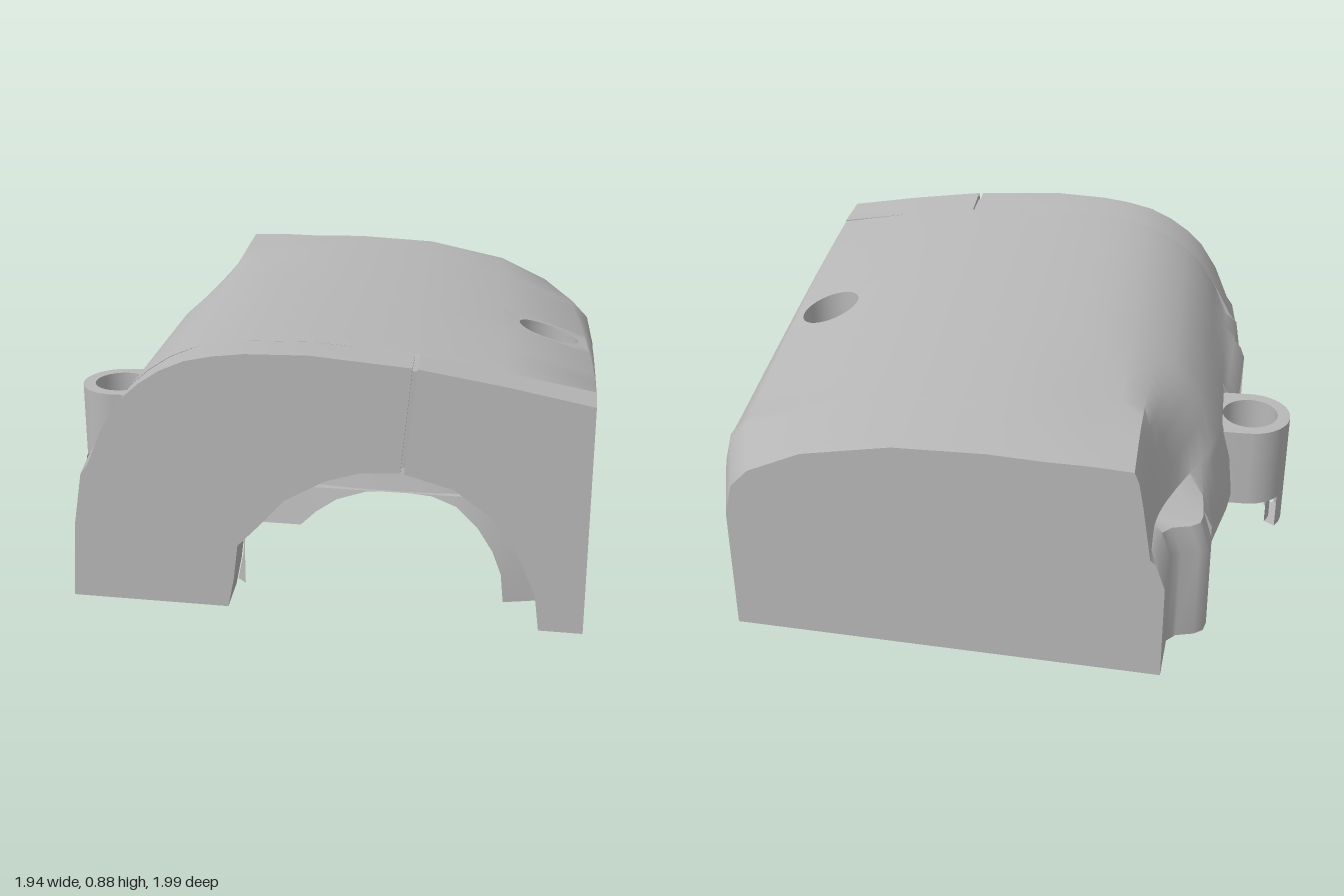
import * as THREE from 'three';
import { toCreasedNormals } from 'three/addons/utils/BufferGeometryUtils.js';

const SKEW = 0.06; // cross-sections are slightly skewed: z = t + SKEW * x
const CEILING = 0.372; // underside of the thick roof
const grey = new THREE.MeshStandardMaterial({ color: 0xb8b8b8, side: THREE.DoubleSide });
grey.name = 'housing grey';

const { lerp, clamp, smoothstep } = THREE.MathUtils;
const wallX = z => z > -0.6 ? 0.932 - 0.063 * z : lerp(0.97, 0.87, clamp((-0.6 - z) / 0.31, 0, 1));

// left wall outline (t, x)
const LEFT = [[0.94, -0.79], [0.78, -0.81], [0.55, -0.8], [0.19, -0.78], [0.18, -0.735], [-0.08, -0.735],
  [-0.09, -0.775], [-0.2, -0.76], [-0.45, -0.705], [-0.66, -0.71], [-0.7, -0.7], [-0.725, -0.67], [-0.745, -0.61],
  [-0.78, -0.58], [-0.96, -0.57]];
function leftX(t) {
  for (let i = 1; i < LEFT.length; i++) {
    const [a, xa] = LEFT[i - 1], [b, xb] = LEFT[i];
    if (t >= b) return lerp(xa, xb, clamp((a - t) / (a - b), 0, 1));
  }
  return -0.57;
}

// upper left wall, at the front and at the back
const FRONT = [[-0.72, 0.47], [-0.665, 0.6], [-0.6, 0.7], [-0.54, 0.755], [-0.47, 0.802], [-0.39, 0.838], [-0.3, 0.858]];
const BACK = [[-0.52, 0.45], [-0.505, 0.55], [-0.49, 0.65], [-0.475, 0.73], [-0.46, 0.766], [-0.38, 0.77], [-0.3, 0.772]];

// outer cross-section, from the left foot over the roof to the right foot
function section(t) {
  const h = (t + 0.96) / 1.9, v = clamp((0.94 - t) / 1.55, 0, 1);
  const w = 1 - smoothstep(t, -0.8, -0.1);
  const roof = 0.777 + 0.1 * h, k = roof / 0.877;
  const edge = 0.76 - 0.3 * Math.pow(v, 1.3), W = wallX(t + 0.055), L = leftX(t);
  const footL = t > 0.62 || t < -0.62 ? 0 : t > -0.085 ? 0.36 : 0.17;
  const footR = t > 0.22 && t < 0.67 ? 0.368 : 0;
  const upper = FRONT.map(([x, y], i) => [lerp(x, BACK[i][0], w), lerp(i ? y * k : y, BACK[i][1], w)]);
  return [
    [L, footL], [L + 0.016 * (1 - w), lerp(footL, 0.43, lerp(0.6, 0.8, w))],
    [Math.min(L + lerp(0.045, 0.032, w), upper[0][0] - 0.005), 0.435],
    ...upper,
    [-0.2, roof - 0.006], [0, roof], [0.3, 0.765 + 0.09 * h], [0.6, 0.705 + 0.105 * h],
    [W - 0.09 * v * v, edge + 0.16 * v * v], [W - 0.028 * v * v, edge + 0.095 * v * v],
    [W, edge - 0.015], [W, footR],
  ];
}

// outer section plus the cavity below the roof
function shellSection(t) {
  const p = section(t), [W, footR] = p[p.length - 1], [L, footL] = p[0];
  const right = t < 0.2 ? 0.69 : W - 0.04, left = L + 0.06;
  return [...p, [right, footR], [right, CEILING], [left, CEILING], [left, footL]];
}

const place = (p, t) => p.map(([x, y]) => new THREE.Vector3(x, y, t + SKEW * x));

function fromTriangles(tris, crease = 0.75) {
  return toCreasedNormals(new THREE.BufferGeometry().setFromPoints(tris), crease);
}

// skin closed rings; skip(i, j) leaves a quad open
function loft(tris, rings, skip = () => false) {
  const n = rings[0].length;
  for (let i = 0; i + 1 < rings.length; i++) for (let j = 0; j < n; j++) {
    if (skip(i, j)) continue;
    const k = (j + 1) % n;
    const a = rings[i][j], b = rings[i][k], c = rings[i + 1][k], d = rings[i + 1][j];
    tris.push(a, d, c, a, c, b);
  }
}

function cap(tris, ring, flip) {
  const flat = ring.map(p => new THREE.Vector2(p.x, p.y));
  for (const f of THREE.ShapeUtils.triangulateShape(flat, [])) {
    const [a, b, c] = f.map(i => ring[i]);
    const ccw = (b.x - a.x) * (c.y - a.y) - (b.y - a.y) * (c.x - a.x) > 0;
    tris.push(a, ...(ccw !== flip ? [b, c] : [c, b]));
  }
}

// patch a four-cornered opening around a round screw hole, with walls down to wellY on the upper side
const HOLE = { x: 0.76, z: 0.1, top: 0.105, bottom: 0.065 };
function holePatch(tris, [A, B, C, D], r, flip, wellY) {
  const at = (s, q) => A.clone().lerp(B, s).lerp(D.clone().lerp(C, s), q);
  const N = 32, rim = [], out = [];
  for (let k = 0; k <= N; k++) {
    const an = k / N * Math.PI * 2, c = Math.cos(an), s = Math.sin(an);
    const m = Math.max(Math.abs(c), Math.abs(s));
    out.push(at(0.5 + 0.5 * c / m, 0.5 + 0.5 * s / m));
    const x = HOLE.x + r * c, z = HOLE.z + r * s;
    const u = (x - A.x) / (B.x - A.x), q = (z - lerp(A.z, B.z, u)) / (D.z - A.z);
    rim.push(new THREE.Vector3(x, at(u, q).y, z));
  }
  for (let k = 0; k < N; k++) {
    const [a, b, c, d] = [rim[k], rim[k + 1], out[k + 1], out[k]];
    tris.push(...(flip ? [a, c, b, a, d, c] : [a, b, c, a, c, d]));
    if (flip) continue;
    const e = a.clone().setY(wellY), f = b.clone().setY(wellY);
    tris.push(a, e, f, a, f, b);
  }
}

const v2 = pts => pts.map(q => new THREE.Vector2(...q));
const polygon = pts => new THREE.Shape(v2(pts));

export function createModel() {
  const model = new THREE.Group();
  const add = (name, geometry) => {
    const m = new THREE.Mesh(geometry, grey);
    m.name = name;
    model.add(m);
    return m;
  };
  const e = 0.0005;

  // main shell with cut-outs along the left foot and a vent opening on the right
  const ts = [-0.68, -0.655, -0.62 - e, -0.62 + e, -0.54, -0.45, -0.37, -0.28, -0.2, -0.14, -0.09, -0.08, 0.18, 0.19,
    0.2 - e, 0.2 + e, 0.22 - e, 0.22 + e, 0.35, 0.5, 0.62 - e, 0.62 + e, 0.67 - e, 0.67 + e, 0.78];
  const rings = ts.map(t => place(shellSection(t), t));
  const h = ts.indexOf(-0.08), tris = [];
  loft(tris, rings, (i, j) => i === h && (j === 13 || j === 17));
  const [r0, r1] = [rings[h], rings[h + 1]];
  holePatch(tris, [r0[13], r0[14], r1[14], r1[13]], HOLE.top, false, 0.4);
  holePatch(tris, [r0[18], r0[17], r1[17], r1[18]], HOLE.bottom, true);
  add('mainShell', fromTriangles(tris));

  // stepped inside of the right screw hole
  const well = add('screwWell', toCreasedNormals(new THREE.LatheGeometry(
    v2([[HOLE.top, 0.4], [HOLE.bottom, 0.4], [HOLE.bottom, 0]]), 32), 0.6));
  well.position.set(HOLE.x, 0, HOLE.z);

  // solid rear end with the narrowed left corner
  const rear = [-0.96, -0.9, -0.84, -0.78, -0.76, -0.745, -0.725, -0.7, -0.68].map(t => place(section(t), t));
  const rearTris = [];
  loft(rearTris, rear);
  cap(rearTris, rear[0], true);
  cap(rearTris, rear[rear.length - 1], false);
  add('rearBlock', fromTriangles(rearTris));

  // slabs that follow the skewed sections
  const skewed = (shape, start, depth) => {
    const g = new THREE.ExtrudeGeometry(shape, { depth, bevelEnabled: false });
    const p = g.attributes.position;
    for (let i = 0; i < p.count; i++) p.setZ(i, p.getZ(i) + start + SKEW * p.getX(i));
    return g;
  };

  // inner rear wall with a half-round seat
  const wall = polygon([[-0.65, 0], [0.13, 0]]);
  wall.absarc(0.33, 0, 0.2, Math.PI, 0, true);
  wall.lineTo(0.7, 0).lineTo(0.7, CEILING).lineTo(-0.65, CEILING);
  add('innerRearWall', toCreasedNormals(skewed(wall, -0.68, 0.04), 0.6));

  // front band in two halves, split by a narrow seam above the arch
  const f = section(0.94);
  const archL = [[0.285, 0.508], [0.16, 0.5], [0.05, 0.465], [-0.08, 0.39], [-0.16, 0.3], [-0.235, 0.22],
    [-0.25, 0.1], [-0.27, 0]];
  const archR = [[0.73, 0], [0.715, 0.12], [0.66, 0.25], [0.57, 0.38], [0.45, 0.465], [0.298, 0.505]];
  const halves = [
    ['frontBandLeft', [...f.slice(0, 12), [0.318, 0.853], ...archL]],
    ['frontBandRight', [[0.334, 0.851], ...f.slice(13), ...archR]],
  ];
  for (const [name, pts] of halves) {
    const g = skewed(polygon(pts), 0.78, 0.16), p = g.attributes.position;
    // the band's rear edge widens and drops to meet the shell
    for (let i = 0; i < p.count; i++) {
      const x = p.getX(i), y = p.getY(i), back = (0.94 + SKEW * x - p.getZ(i)) / 0.16;
      p.setXY(i, x + back * (x > 0.8 ? 0.01 : x < -0.7 ? -0.015 : 0), y - back * 0.009 * clamp((y - 0.5) * 4, 0, 1));
    }
    add(name, toCreasedNormals(g, 0.6));
  }
  const seam = add('seamBacking', new THREE.BoxGeometry(0.03, 0.32, 0.13));
  seam.position.set(0.308, 0.675, 0.865);
  seam.rotation.z = -0.1;

  // steep shoulder inside the arch, rising towards the rear
  const mouth = [...archL.slice().reverse(), ...archR.slice().reverse()];
  const throat = [[-0.24, 0], [-0.24, 0.12], [-0.24, 0.23], [-0.05, 0.23], [0, 0.28], [0.07, 0.33], [0.17, 0.365],
    [0.28, 0.37], [0.38, 0.362], [0.46, 0.33], [0.53, 0.26], [0.58, 0.18], [0.61, 0.1], [0.62, 0]];
  const shoulder = [];
  const [high, low] = [place(mouth, 0.74), place(throat, 0.77)];
  for (let i = 0; i + 1 < high.length; i++) {
    shoulder.push(high[i], low[i + 1], low[i], high[i], high[i + 1], low[i + 1]);
  }
  add('archShoulder', fromTriangles(shoulder, 0.5));

  // slanted vent grille in the right wall
  const grille = polygon([[-0.73, 0], [-0.27, 0], [-0.27, 0.372], [-0.73, 0.372]]);
  for (let z0 = 0.36; z0 < 0.86; z0 += 0.088) {
    const lo = Math.max(0.012, (z0 - 0.655) / 0.6), hi = Math.min(0.36, (z0 - 0.325) / 0.6);
    if (hi - lo < 0.04) continue;
    const a = -z0 + 0.6 * lo, b = -z0 + 0.6 * hi, s = 0.024;
    grille.holes.push(new THREE.Path(v2([[a - s, lo], [b - s, hi], [b + s, hi], [a + s, lo]])));
  }
  const vent = new THREE.ExtrudeGeometry(grille, { depth: 0.04, bevelEnabled: false });
  vent.rotateY(Math.PI / 2);
  const vp = vent.attributes.position;
  for (let i = 0; i < vp.count; i++) vp.setX(i, vp.getX(i) - 0.04 + wallX(vp.getZ(i)));
  vent.computeVertexNormals();
  add('ventGrille', vent);

  // left screw boss fused to the wall, with a wider counterbore on top
  for (const [name, r, y, depth] of [['screwBossBase', 0.065, 0.13, 0.17], ['screwBossTop', 0.1, 0.3, 0.13]]) {
    const s = new THREE.Shape().absarc(0, 0, 0.145, Math.PI / 2, Math.PI * 1.5, false);
    s.lineTo(0.112, -0.145).lineTo(0.112, 0.145);
    s.holes.push(new THREE.Path().absarc(0, 0, r, 0, Math.PI * 2, true));
    const g = new THREE.ExtrudeGeometry(s, { depth, bevelEnabled: false, curveSegments: 24 });
    add(name, toCreasedNormals(g.rotateX(-Math.PI / 2), 0.6)).position.set(-0.825, y, 0);
  }
  const foot = add('bossFoot', toCreasedNormals(new THREE.LatheGeometry(v2([[0.1, 0], [0.145, 0],
    [0.145, 0.14], [0.1, 0.14], [0.1, 0]]), 12, Math.PI * 1.5 - 0.6, 1.2), 0.6));
  foot.position.set(-0.825, 0, 0);

  return model;
}
